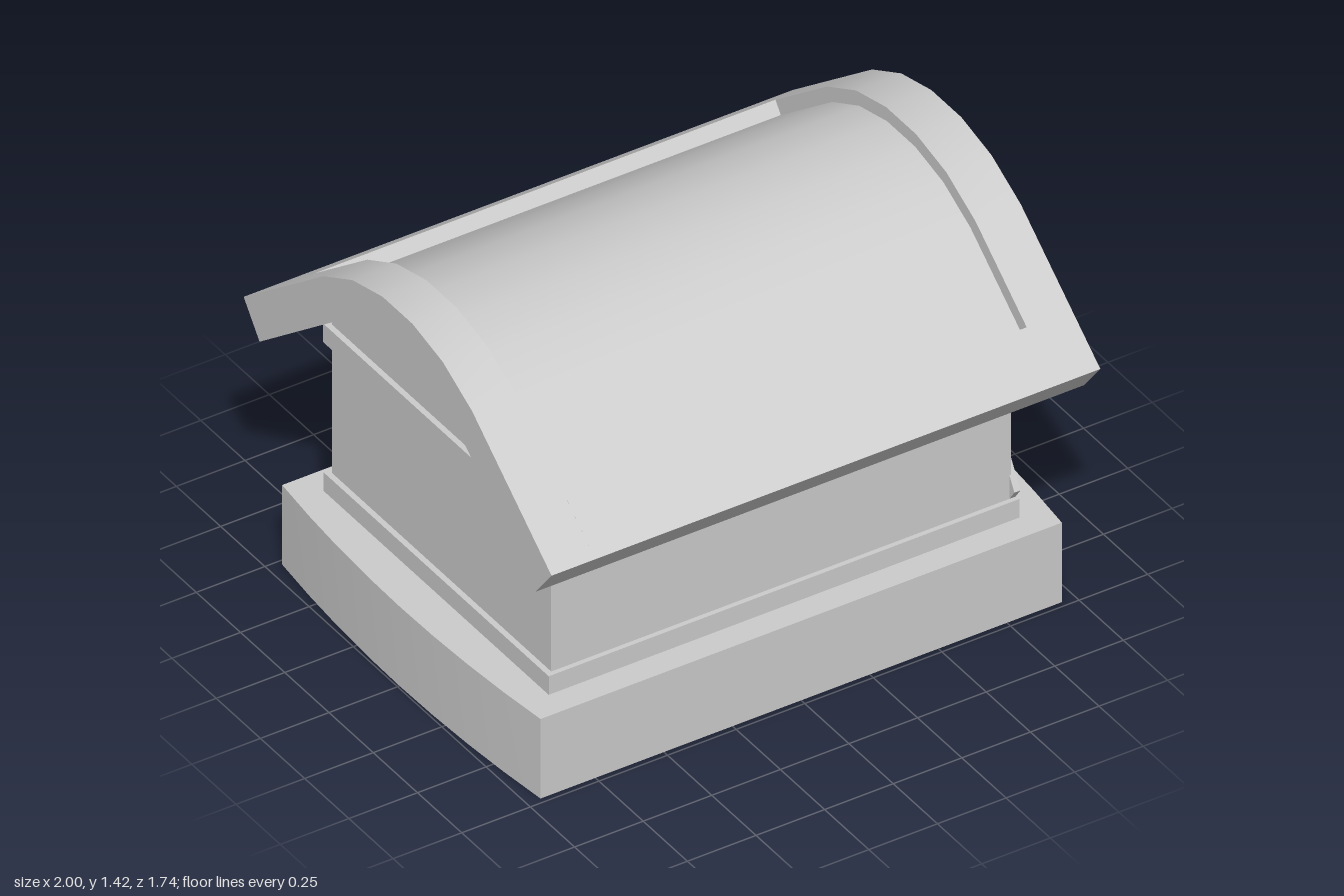
import * as THREE from 'three';
import { toCreasedNormals } from 'three/addons/utils/BufferGeometryUtils.js';

const material = new THREE.MeshStandardMaterial({ color: 0xcccccc });

// Completes a half outline, listed from the side to the middle, with its mirror image
const mirrored = (pts) => [...pts, ...pts.map(([z, y]) => [-z, y]).reverse()];
const toVectors = (pts) => pts.map(([z, y]) => new THREE.Vector2(-z, y));

// Extrudes a (z, y) outline along x from x0 to x1
function profile(name, pts, x0, x1, hole) {
  const shape = new THREE.Shape(toVectors(pts));
  if (hole) shape.holes.push(new THREE.Path(toVectors(hole)));
  const geo = new THREE.ExtrudeGeometry(shape, { depth: x1 - x0, bevelEnabled: false });
  geo.rotateY(Math.PI / 2).translate(x0, 0, 0);
  const mesh = new THREE.Mesh(toCreasedNormals(geo, 0.5), material);
  mesh.name = name;
  return mesh;
}

function box(name, x0, x1, y0, y1, halfZ) {
  const mesh = new THREE.Mesh(new THREE.BoxGeometry(x1 - x0, y1 - y0, halfZ * 2), material);
  mesh.position.set((x0 + x1) / 2, (y0 + y1) / 2, 0);
  mesh.name = name;
  return mesh;
}

// Plinth with gently bowed ends
function plinth() {
  const n = 8, w = 0.73, pts = [];
  for (const s of [1, -1]) {
    for (let i = 0; i <= n; i++) {
      const t = (i / n) * 2 - 1;
      pts.push(new THREE.Vector2(s * (0.95 + 0.043 * (1 - t * t)), s * t * w));
    }
  }
  const geo = new THREE.ExtrudeGeometry(new THREE.Shape(pts), { depth: 0.3, bevelEnabled: false });
  const mesh = new THREE.Mesh(toCreasedNormals(geo.rotateX(-Math.PI / 2), 0.5), material);
  mesh.name = 'plinth';
  return mesh;
}

export function createModel() {
  const house = new THREE.Group();
  house.name = 'house';
  const xBack = -0.84, xFace = 0.835;

  // Stone plinth, sill and wall-top band
  house.add(plinth());
  house.add(box('sill', -0.86, 0.855, 0.3, 0.37, 0.637));
  house.add(box('wallBand', -0.86, 0.855, 0.86, 0.93, 0.64));

  // Walls rising to the underside of the roof, with a shallow door recess
  const wall = mirrored([[0.62, 0.3], [0.62, 0.957], [0.34, 1.177], [0.2, 1.247], [0.07, 1.277]]);
  const door = mirrored([[0.117, 0.36], [0.117, 0.7], [0.075, 0.79], [0.02, 0.808]]);
  house.add(profile('walls', wall, xBack, xFace - 0.012));
  house.add(profile('doorWall', wall, xFace - 0.012, xFace, door));

  // Roof: thick rims at both ends, sunken panel between them
  const under = [[0.07, 1.275], [0.2, 1.245], [0.34, 1.175], [0.78, 0.83]];
  const outer = [[0.87, 0.945], [0.42, 1.295], [0.255, 1.38], [0.085, 1.42]];
  const sunken = [[0.87, 0.945], [0.71, 1.07], [0.68, 1.03], [0.39, 1.255], [0.237, 1.333], [0.08, 1.37]];
  const rim = mirrored([...under, ...outer]);
  const roof = new THREE.Group();
  roof.name = 'roof';
  roof.add(profile('roofRimLeft', rim, xFace, 1));
  roof.add(profile('roofRimRight', rim, -1, xBack));
  roof.add(profile('roofPanel', mirrored([...under, ...sunken]), xBack, xFace));
  house.add(roof);

  // Timber framing on the door end: [name, depth, outline], mirrored across z
  const bars = [
    ['crossBraceA', 0.02, [[0.62, 0.853], [0.667, 0.82], [0.405, 0.37], [0.34, 0.37]]],
    ['crossBraceB', 0.017, [[0.39, 0.86], [0.34, 0.86], [0.62, 0.37], [0.648, 0.41]]],
    ['slantedPost', 0.02, [[0.345, 0.86], [0.303, 0.86], [0.168, 0.37], [0.2, 0.37]]],
    ['rafterTie', 0.013, [[0.615, 0.95], [0.56, 0.93], [0.09, 1.16], [0.085, 1.217]]],
    ['gableStrut', 0.02, [[0.34, 1.167], [0.289, 1.195], [0.15, 0.93], [0.21, 0.93]]],
    ['gableFrame', 0.02, [[0.065, 1.272], [0, 1.272], [0.09, 0.93], [0.15, 0.93]]],
  ];
  const timbers = new THREE.Group();
  timbers.name = 'timbers';
  for (const [name, depth, pts] of bars) {
    for (const s of [1, -1]) {
      const outline = pts.map(([z, y]) => [s * z, y]);
      timbers.add(profile(name, outline, xFace - 0.005, xFace + depth));
    }
  }
  timbers.add(profile('collarTie', mirrored([[0.045, 1.13], [0.025, 1.2]]), xFace - 0.005, xFace + 0.016));
  house.add(timbers);

  return house;
}
